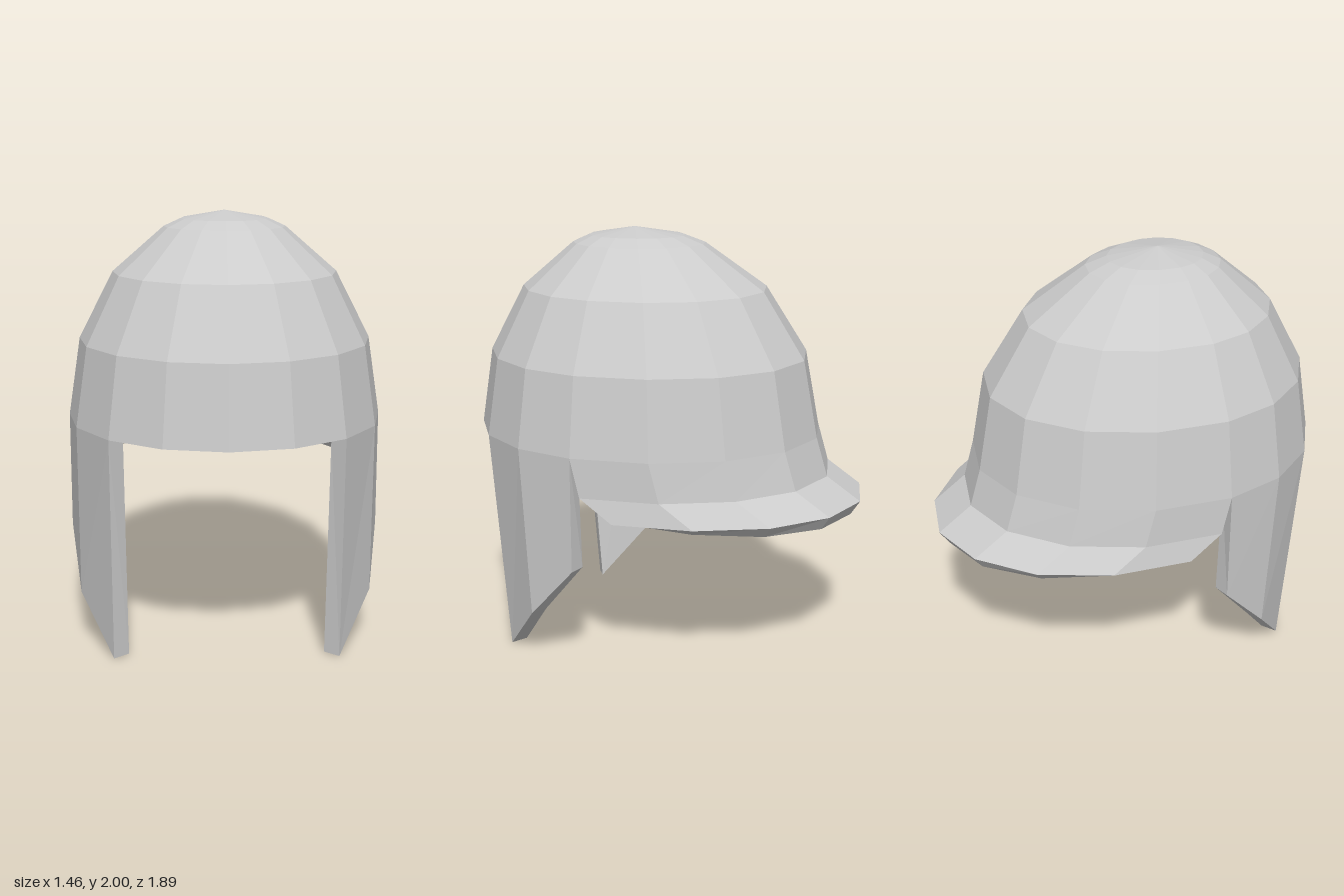
import * as THREE from 'three';

const SIDES = 16, THICKNESS = 0.08;

export function createModel() {
  const group = new THREE.Group();
  const material = new THREE.MeshStandardMaterial({ color: 0xcccccc, flatShading: true });
  const points = [], faces = [];
  const add = (x, y, z) => points.push(new THREE.Vector3(x, y, z)) - 1;
  const angle = (i) => (i / SIDES) * Math.PI * 2; // 0 is the front, a quarter turn is +x
  const face = (part, ...ids) => faces.push({ part, ids });

  // Dome rings: a half ellipsoid that is deeper towards the back
  const ring = (tilt) => Array.from({ length: SIDES }, (_, i) => {
    const s = Math.sin(angle(i)), c = Math.cos(angle(i)), f = Math.sin(tilt);
    return add(0.73 * f * s, 1.05 + 0.95 * Math.cos(tilt), 0.2 + (c > 0 ? 0.745 : 0.93) * f * c);
  });
  const rings = [Math.asin(0.274), ...[1, 2, 3, 4].map((k) => k * Math.PI / 8)].map(ring);
  const rim = rings[4];
  const apex = add(0, 2, 0.19);
  for (let i = 0; i < SIDES; i++) {
    const j = (i + 1) % SIDES;
    face('dome', rings[0][i], rings[0][j], apex);
    for (let r = 0; r < 4; r++) face('dome', rings[r + 1][i], rings[r + 1][j], rings[r][j], rings[r][i]);
  }

  // Cheek guards hanging from the rim, cut to a point at the front
  const cheekEnds = [[0.516, 0, 0.64], [0.675, 0.25, 0.44], [0.73, 0.51, 0.2]];
  const left = cheekEnds.map(([x, y, z]) => add(x, y, z));
  const right = cheekEnds.map(([x, y, z]) => add(-x, y, z));
  for (let k = 0; k < 2; k++) {
    face('leftCheekGuard', left[k], left[k + 1], rim[k + 3], rim[k + 2]);
    face('rightCheekGuard', right[k + 1], right[k], rim[14 - k], rim[13 - k]);
  }

  // Neck guard: a short collar, then a flared brim around the back half
  const neckRow = (y, z, depth) => Array.from({ length: 9 }, (_, k) =>
    add(0.73 * Math.sin(angle(k + 4)), y, z + depth * Math.cos(angle(k + 4))));
  const collar = neckRow(0.87, 0.155, 0.94), brim = neckRow(0.765, 0, 0.948);
  for (let k = 0; k < 8; k++) {
    face('neckGuard', collar[k], collar[k + 1], rim[k + 5], rim[k + 4]);
    face('neckGuard', brim[k], brim[k + 1], collar[k + 1], collar[k]);
  }

  // Inner shell: every point moved inwards along its averaged normal
  const normals = points.map(() => new THREE.Vector3());
  const edges = new Set();
  for (const { ids } of faces) {
    const p = ids.map((id) => points[id]);
    const n = p.length;
    const normal = n === 4
      ? p[2].clone().sub(p[0]).cross(p[3].clone().sub(p[1])).normalize()
      : p[1].clone().sub(p[0]).cross(p[2].clone().sub(p[0])).normalize();
    ids.forEach((id, k) => {
      const a = p[(k + 1) % n].clone().sub(p[k]), b = p[(k + n - 1) % n].clone().sub(p[k]);
      normals[id].addScaledVector(normal, a.angleTo(b));
      edges.add(id + '_' + ids[(k + 1) % n]);
    });
  }
  const inner = points.map((p, i) => p.clone().addScaledVector(normals[i].normalize(), -THICKNESS));

  // Collect outer faces, inner faces and the walls along open edges
  const parts = {};
  for (const { part, ids } of faces) {
    const out = (parts[part] ??= []);
    const emit = (...q) => {
      for (let k = 1; k < q.length - 1; k++) out.push(q[0], q[k], q[k + 1]);
    };
    emit(...ids.map((id) => points[id]));
    emit(...ids.map((id) => inner[id]).reverse());
    ids.forEach((a, k) => {
      const b = ids[(k + 1) % ids.length];
      if (!edges.has(b + '_' + a)) emit(points[b], points[a], inner[a], inner[b]);
    });
  }
  for (const [name, corners] of Object.entries(parts)) {
    const geometry = new THREE.BufferGeometry().setFromPoints(corners);
    geometry.computeVertexNormals();
    const mesh = new THREE.Mesh(geometry, material);
    mesh.name = name;
    group.add(mesh);
  }
  group.name = 'helmet';
  return group;
}
